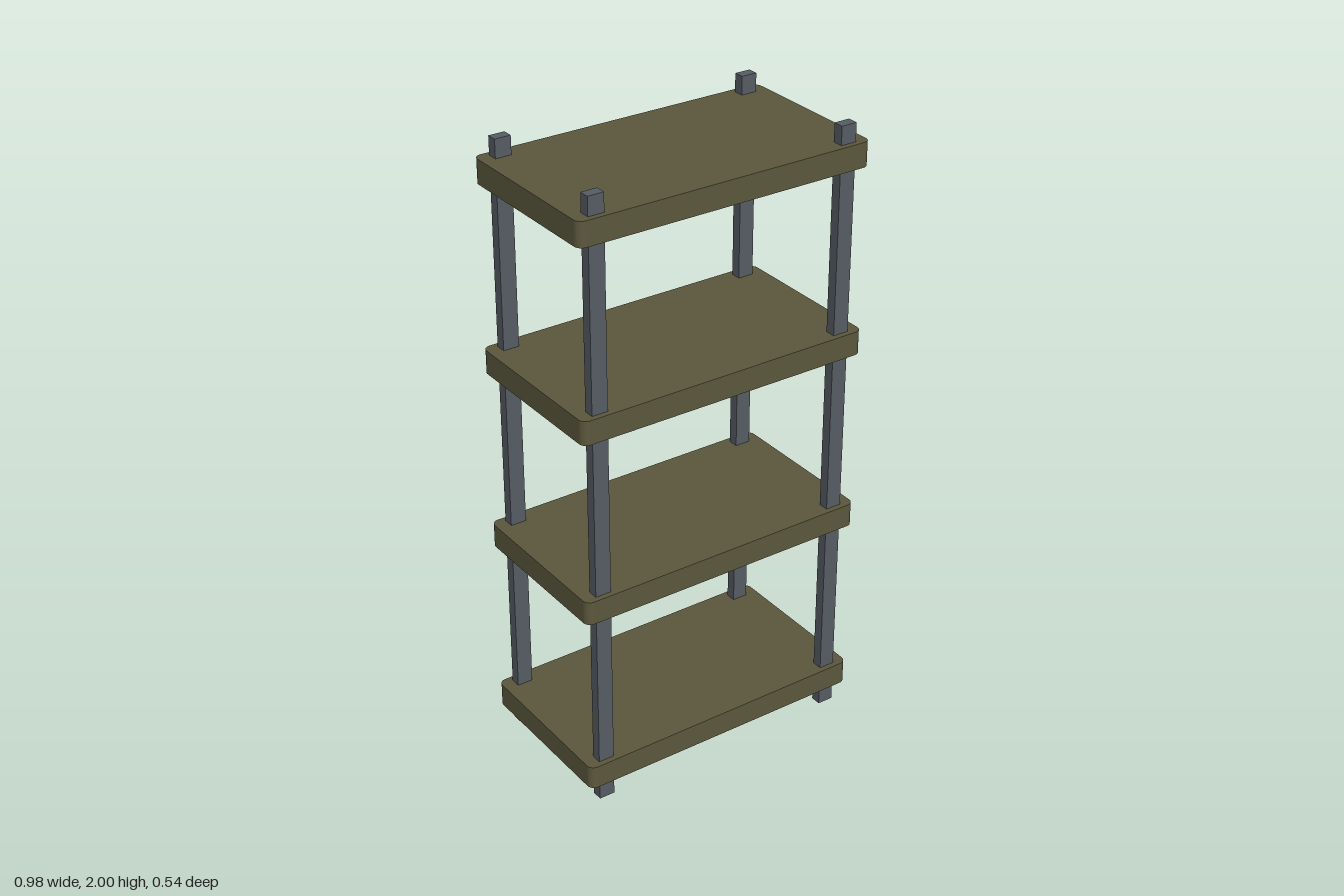
import * as THREE from 'three';

const HALF_W = 0.49, HALF_D = 0.271, THICK = 0.077, RADIUS = 0.024;

// Rounded-corner board, lying flat and centred on its own origin
function boardGeometry() {
  const s = new THREE.Shape();
  const x = HALF_W - RADIUS, y = HALF_D - RADIUS;
  s.absarc(x, y, RADIUS, 0, Math.PI / 2);
  s.absarc(-x, y, RADIUS, Math.PI / 2, Math.PI);
  s.absarc(-x, -y, RADIUS, Math.PI, Math.PI * 1.5);
  s.absarc(x, -y, RADIUS, Math.PI * 1.5, Math.PI * 2);
  const g = new THREE.ExtrudeGeometry(s, { depth: THICK, bevelEnabled: false, curveSegments: 6 });
  g.translate(0, 0, -THICK / 2);
  g.rotateX(-Math.PI / 2);
  return g;
}

export function createModel() {
  const model = new THREE.Group();
  model.name = 'shelfUnit';

  const olive = new THREE.MeshStandardMaterial({ color: 0x5c583d });
  olive.name = 'oliveBoard';
  const steel = new THREE.MeshStandardMaterial({ color: 0x565d64 });
  steel.name = 'greySteel';

  // Four evenly spaced shelves
  const board = boardGeometry();
  for (let i = 0; i < 4; i++) {
    const shelf = new THREE.Mesh(board, olive);
    shelf.name = `shelf${i + 1}`;
    shelf.position.y = 0.103 + i * 0.6;
    model.add(shelf);
  }

  // Four corner posts running through the shelves
  const postGeometry = new THREE.BoxGeometry(0.052, 2, 0.034);
  for (const [side, x] of [['Left', 0.423], ['Right', -0.423]]) {
    for (const [end, z] of [['front', 0.236], ['back', -0.236]]) {
      const post = new THREE.Mesh(postGeometry, steel);
      post.name = `${end}${side}Post`;
      post.position.set(x, 1, z);
      model.add(post);
    }
  }

  return model;
}
